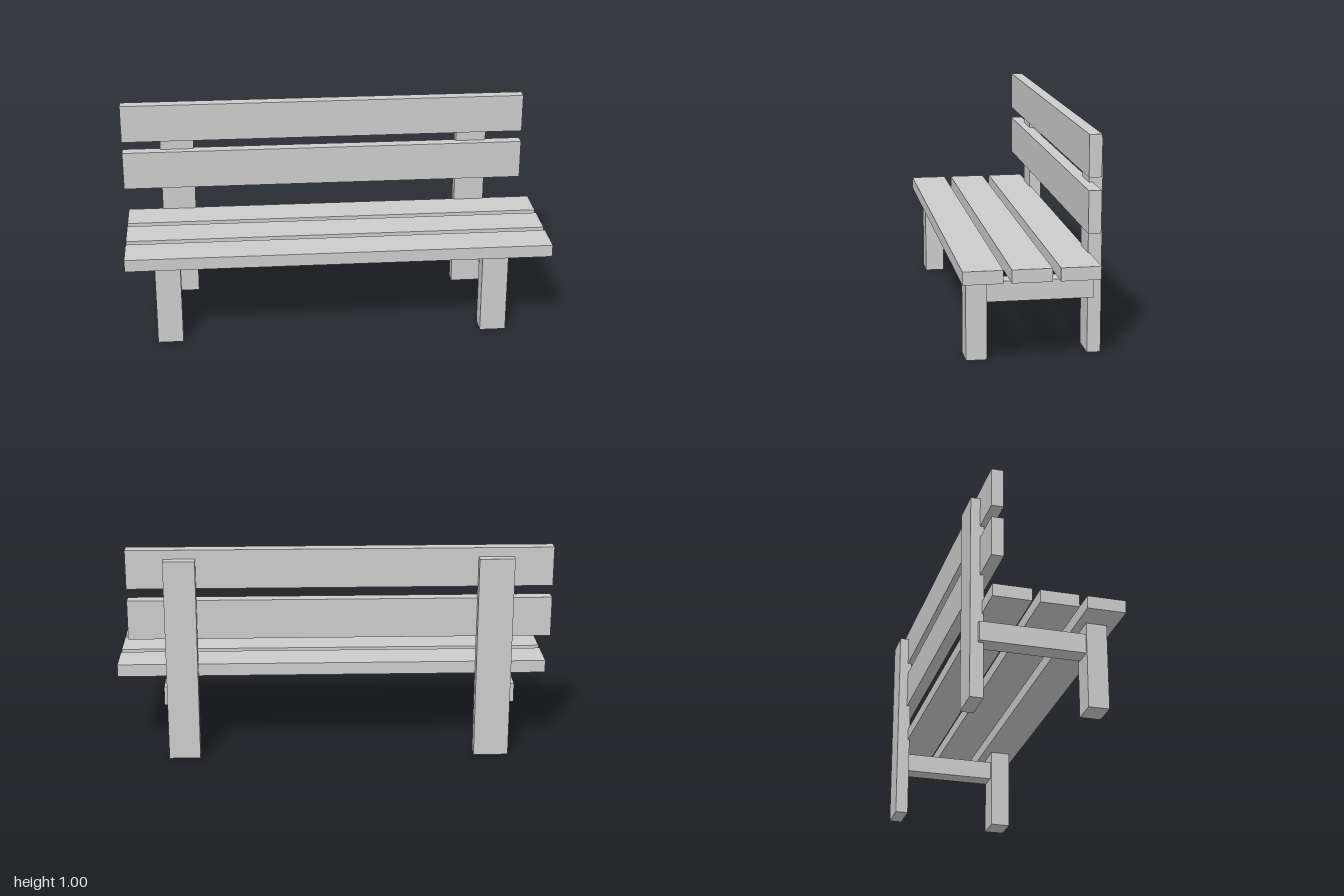
import * as THREE from 'three';

const material = new THREE.MeshStandardMaterial({ color: 0xcccccc, flatShading: true });

// Wooden board given by its extents along each axis
function board(name, [x0, x1], [y0, y1], [z0, z1]) {
  const mesh = new THREE.Mesh(new THREE.BoxGeometry(x1 - x0, y1 - y0, z1 - z0), material);
  mesh.position.set((x0 + x1) / 2, (y0 + y1) / 2, (z0 + z1) / 2);
  mesh.name = name;
  return mesh;
}

export function createModel() {
  const bench = new THREE.Group();
  bench.name = 'bench';

  // Three seat slats, front to back
  for (const z of [[0.148, 0.32], [-0.06, 0.113], [-0.268, -0.095]]) {
    bench.add(board('seatSlat', [-0.985, 0.998], [0.392, 0.45], z));
  }

  // Two backrest slats, slightly offset from the seat
  for (const y of [[0.577, 0.762], [0.818, 1]]) {
    bench.add(board('backrestSlat', [-1, 0.94], y, [-0.277, -0.222]));
  }

  // Each side: front leg, tall back post and the rail joining them
  const sides = [
    { side: 'right', leg: [-0.85, -0.732], post: [-0.818, -0.657], rail: [-0.84, -0.755] },
    { side: 'left', leg: [0.678, 0.8], post: [0.624, 0.769], rail: [0.7, 0.785] },
  ];
  for (const { side, leg, post, rail } of sides) {
    const frame = new THREE.Group();
    frame.name = side + 'Frame';
    frame.add(
      board('frontLeg', leg, [0, 0.392], [0.187, 0.28]),
      board('backPost', post, [0, 0.958], [-0.32, -0.26]),
      board('sideRail', rail, [0.254, 0.344], [-0.285, 0.19]),
    );
    bench.add(frame);
  }
  return bench;
}
